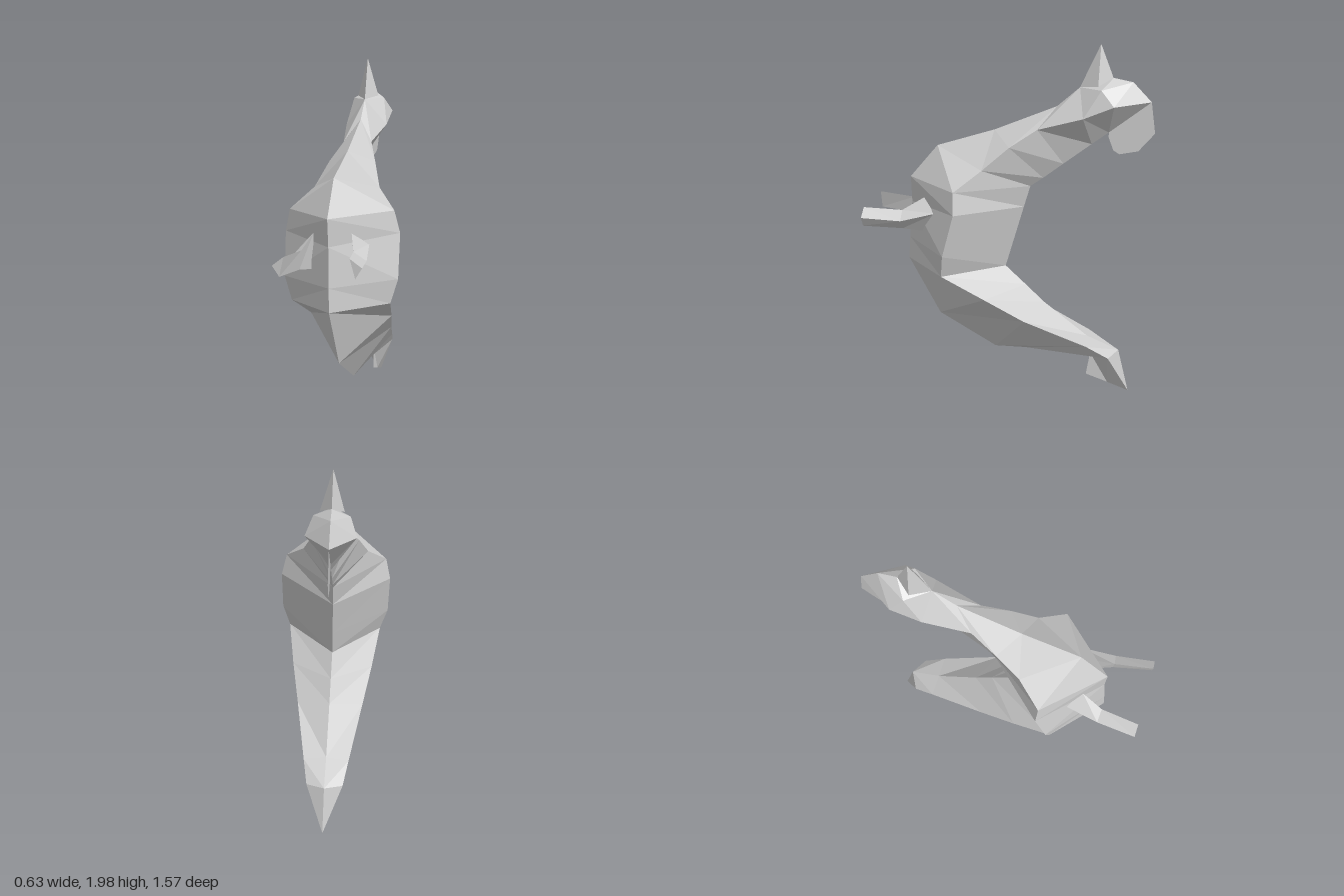
import * as THREE from 'three';
import { ConvexGeometry } from 'three/addons/geometries/ConvexGeometry.js';

const stone = new THREE.MeshStandardMaterial({ color: 0xcccccc, side: THREE.DoubleSide, flatShading: true });
stone.name = 'paleGrey';

const V = (x, y, z) => new THREE.Vector3(x, y, z);

// Skins a list of equal-length rings with flat faces; optionally caps the last ring.
function loft(rings, cap = false) {
  const pos = [];
  const tri = (...pts) => pts.forEach((p) => pos.push(p.x, p.y, p.z));
  const n = rings[0].length;
  for (let i = 0; i < rings.length - 1; i++) {
    for (let j = 0; j < n; j++) {
      const k = (j + 1) % n;
      const a = rings[i][j], b = rings[i][k], c = rings[i + 1][k], d = rings[i + 1][j];
      // Diagonals are mirrored between the two halves
      if (j < n / 2) { tri(a, b, d); tri(b, c, d); } else { tri(a, b, c); tri(a, c, d); }
    }
  }
  if (cap) {
    const r = rings[rings.length - 1];
    for (let j = 1; j < n - 1; j++) tri(r[0], r[j], r[j + 1]);
  }
  const g = new THREE.BufferGeometry();
  g.setAttribute('position', new THREE.Float32BufferAttribute(pos, 3));
  g.computeVertexNormals();
  return g;
}

// Diamond section: outer ridge, left side, inner ridge, right side.
const diamond = ([oz, oy, sz, sy, w, iz, iy]) => [V(0, oy, oz), V(w, sy, sz), V(0, iy, iz), V(-w, sy, sz)];

export function createModel() {
  const model = new THREE.Group();
  const figure = new THREE.Group();
  figure.name = 'creature';
  model.add(figure);
  const add = (name, geometry) => {
    const mesh = new THREE.Mesh(geometry, stone);
    mesh.name = name;
    figure.add(mesh);
    return mesh;
  };

  // Sections: outer z, y | side z, y, half width | inner z, y
  const tailEnd = [-0.477, 0.225, -0.585, 0.24, 0.098, -0.637, 0.255];
  const body = [
    tailEnd,
    [-0.1, 0.23, -0.46, 0.315, 0.123, -0.456, 0.33],
    [0.074, 0.228, -0.117, 0.467, 0.185, -0.207, 0.52],
    [0.40, 0.414, 0.1, 0.60, 0.23, -0.1, 0.62],
    [0.578, 0.743, 0.33, 0.737, 0.27, 0.016, 0.727],
    [0.57, 0.87, 0.313, 0.865, 0.31, -0.025, 0.87],
    [0.552, 1.08, 0.25, 1.10, 0.313, -0.085, 1.08],
    [0.557, 1.225, 0.255, 1.22, 0.285, -0.12, 1.2],
    [0.40, 1.41, 0.12, 1.32, 0.18, -0.19, 1.25],
    [0.08, 1.51, -0.02, 1.44, 0.13, -0.30, 1.335],
    [-0.26, 1.65, -0.164, 1.533, 0.08, -0.45, 1.45],
    [-0.38, 1.755, -0.41, 1.607, 0.12, -0.54, 1.517],
  ];
  add('body', loft(body.map(diamond)));

  // Tail fin closing to a sharp lower edge
  add('tailFin', loft([[-0.456, 0.09, -0.58, 0.048, 0, -0.70, 0.005], tailEnd].map(diamond)));

  // Faceted head
  const headPoints = [
    V(0, 1.755, -0.38), V(0, 1.81, -0.557), V(0, 1.79, -0.66), V(0, 1.687, -0.76), V(0, 1.517, -0.54),
  ];
  for (const s of [1, -1]) {
    headPoints.push(V(s * 0.12, 1.607, -0.41), V(s * 0.126, 1.675, -0.57), V(s * 0.09, 1.755, -0.5));
  }
  add('head', new ConvexGeometry(headPoints));

  // Four-sided horn
  const tip = V(0, 1.985, -0.485);
  add('horn', loft([
    [V(0, 1.755, -0.38), V(0.06, 1.77, -0.48), V(0, 1.81, -0.555), V(-0.06, 1.77, -0.48)],
    [tip, tip, tip, tip],
  ]));

  // Flat beard under the snout, drawn as (-z, y)
  const beardShape = new THREE.Shape([
    [0.54, 1.517], [0.54, 1.49], [0.567, 1.42], [0.60, 1.40], [0.70, 1.42], [0.785, 1.52], [0.76, 1.687],
  ].map(([a, b]) => new THREE.Vector2(a, b)));
  add('beard', new THREE.ShapeGeometry(beardShape).rotateY(Math.PI / 2));

  // Three-sided limbs reaching forward
  const limb = [
    [[0.10, 1.135, 0.456], [0.11, 0.94, 0.445], [0.175, 1.066, 0.38]],
    [[0.135, 1.066, 0.575], [0.15, 0.965, 0.57], [0.20, 1.02, 0.57]],
    [[0.165, 1.08, 0.785], [0.19, 0.98, 0.785], [0.225, 1.035, 0.785]],
  ];
  for (const s of [1, -1]) {
    const rings = limb.map((ring) => {
      const pts = ring.map(([x, y, z]) => V(s * x, y, z));
      return s > 0 ? pts : pts.reverse();
    });
    add(s > 0 ? 'leftLimb' : 'rightLimb', loft(rings, true));
  }

  // Slight sideways lean
  figure.rotation.z = 0.025;
  figure.position.x = 0.02;
  return model;
}
